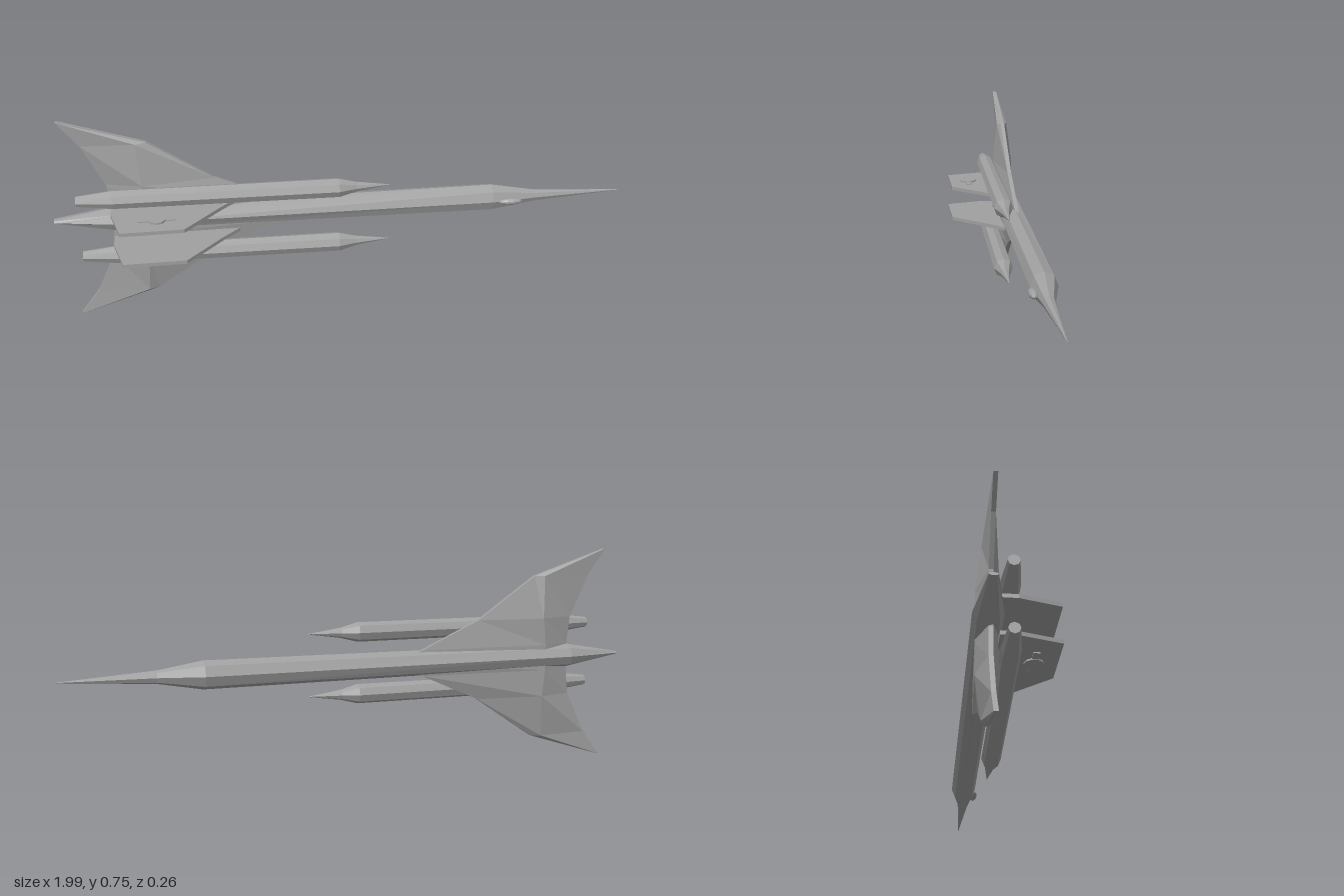
import * as THREE from 'three';

const MID = 0.3775;

// Skin a list of rings (equal point counts) and cap both ends
function loft(rings) {
  const pos = [];
  const tri = (a, b, c) => pos.push(...a, ...b, ...c);
  const centre = (r) => [0, 1, 2].map((k) => r.reduce((s, p) => s + p[k], 0) / r.length);
  const n = rings[0].length;
  const last = rings[rings.length - 1];
  const c0 = centre(rings[0]);
  const c1 = centre(last);
  for (let j = 0; j < n; j++) {
    const k = (j + 1) % n;
    for (let i = 0; i < rings.length - 1; i++) {
      const a = rings[i], b = rings[i + 1];
      tri(a[j], a[k], b[j]);
      tri(a[k], b[k], b[j]);
    }
    tri(c0, rings[0][k], rings[0][j]);
    tri(c1, last[j], last[k]);
  }
  const g = new THREE.BufferGeometry();
  g.setAttribute('position', new THREE.Float32BufferAttribute(pos, 3));
  g.computeVertexNormals();
  return g;
}

// Faceted tube along x; each station is [x, centre z, radius y, radius z]
function spindle(stations, sides = 8) {
  return loft(stations.map(([x, z, ry, rz]) => Array.from({ length: sides }, (_, j) => {
    const a = (j / sides) * Math.PI * 2;
    return [x, Math.cos(a) * ry, z + Math.sin(a) * rz];
  })));
}

// Wing half; each station is [y, leading x, ridge x, trailing x, ridge half thickness]
function wingHalf(stations) {
  const e = 0.007;
  return loft(stations.map(([y, le, mid, te, t]) => [
    [mid, y, t], [le, y, e], [le, y, -e], [mid, y, -t], [te, y, -e], [te, y, e],
  ]));
}

export function createModel() {
  const model = new THREE.Group();
  const grey = new THREE.MeshStandardMaterial({ color: 0xa0a0a0 });
  grey.name = 'hull grey';
  grey.flatShading = true;

  const add = (name, geometry, x = 0, y = 0, z = 0) => {
    const mesh = new THREE.Mesh(geometry, grey);
    mesh.name = name;
    mesh.position.set(x, y, z);
    model.add(mesh);
    return mesh;
  };

  // Long fuselage with needle nose and tapered tail
  add('fuselage', spindle([
    [-1, -0.092, 0.005, 0.014],
    [-0.8, -0.088, 0.041, 0.046],
    [0.52, -0.062, 0.048, 0.044],
    [0.67, -0.053, 0.022, 0.02],
    [0.985, -0.05, 0.001, 0.001],
  ]), 0, MID);

  // Canopy bulge
  const canopy = add('canopy', new THREE.SphereGeometry(1, 10, 8), 0.58, MID, -0.019);
  canopy.scale.set(0.042, 0.012, 0.014);

  // Swept wings
  const wing = wingHalf([
    [0, -0.12, -0.7, -0.8, 0.037],
    [0.045, -0.24, -0.7, -0.8, 0.037],
    [0.14, -0.45, -0.69, -0.81, 0.037],
    [0.288, -0.665, -0.7, -0.88, 0.019],
    [0.3775, -0.94, -0.944, -0.948, 0.007],
  ]);
  // Engine pods
  const pod = spindle([
    [-0.91, -0.027, 0.018, 0.018],
    [-0.79, -0.024, 0.033, 0.031],
    [-0.03, -0.007, 0.034, 0.033],
    [0.03, -0.006, 0.018, 0.017],
    [0.145, -0.005, 0.001, 0.001],
  ]);
  // Fin plates
  const finShape = new THREE.Shape([
    [-0.8, -0.055], [-0.37, -0.055], [-0.43, 0], [-0.555, 0.13], [-0.765, 0.13], [-0.8, 0],
  ].map(([x, z]) => new THREE.Vector2(x, z)));
  const fin = new THREE.ExtrudeGeometry(finShape, { depth: 0.013, bevelEnabled: false });
  fin.rotateX(Math.PI / 2).translate(0, 0.0065, 0);
  // Raised access cover on the outer face of each fin
  const cover = new THREE.CylinderGeometry(0.03, 0.03, 0.006, 10);
  const strip = new THREE.BoxGeometry(0.13, 0.004, 0.02);

  for (const [side, s] of [['upper', 1], ['lower', -1]]) {
    const w = add(side + 'Wing', wing, 0, MID, -0.081);
    if (s < 0) w.rotation.x = Math.PI;
    add(side + 'EnginePod', pod, 0, MID + s * 0.108);
    add(side + 'Fin', fin, 0, MID + s * 0.0605);
    add(side + 'FinCover', cover, -0.645, MID + s * 0.07, 0.06);
    add(side + 'FinStrip', strip, -0.645, MID + s * 0.069, 0.06);
  }
  return model;
}
